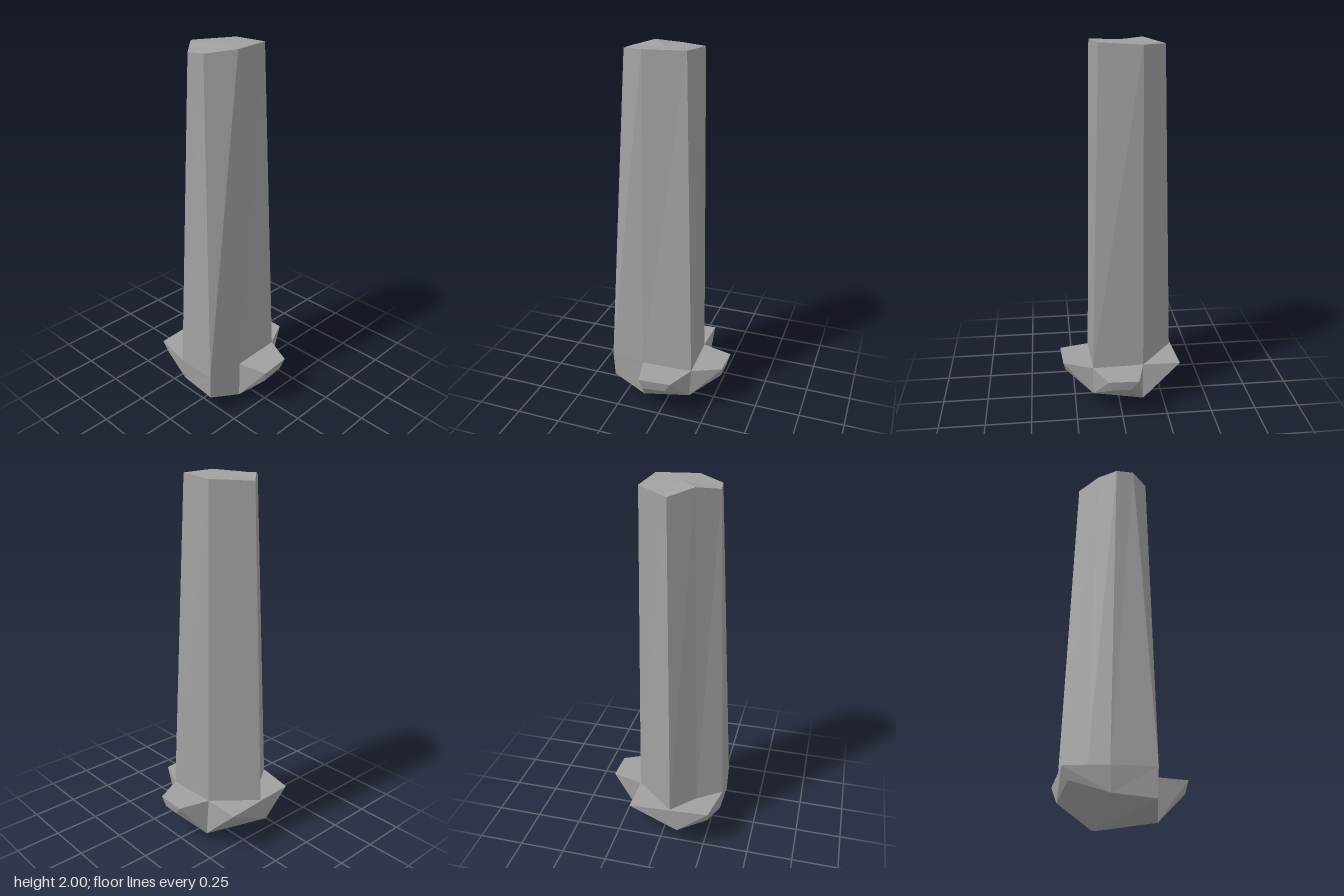
import * as THREE from 'three';
import { ConvexGeometry } from 'three/addons/geometries/ConvexGeometry.js';

const RIM = 0.265; // height of the flat ledge tops

// Faceted surface through closed rings, listed bottom to top, with a fan cap at each end
function loft(rings, bottom, top) {
  const pos = [];
  const tri = (a, b, c) => pos.push(...a, ...b, ...c);
  const n = rings[0].length;
  for (let i = 0; i < n; i++) {
    const j = (i + 1) % n;
    for (let k = 0; k < rings.length - 1; k++) {
      const lo = rings[k], up = rings[k + 1];
      tri(lo[i], up[i], lo[j]);
      tri(up[i], up[j], lo[j]);
    }
    tri(bottom, rings[0][i], rings[0][j]);
    tri(top, rings.at(-1)[j], rings.at(-1)[i]);
  }
  const g = new THREE.BufferGeometry();
  g.setAttribute('position', new THREE.Float32BufferAttribute(pos, 3));
  g.computeVertexNormals();
  return g;
}

export function createModel() {
  const model = new THREE.Group();
  model.name = 'rockPillar';
  const stone = new THREE.MeshStandardMaterial({ color: 0xa0a0a0, flatShading: true });
  stone.name = 'grey stone';

  const add = (name, geometry) => {
    const mesh = new THREE.Mesh(geometry, stone);
    mesh.name = name;
    model.add(mesh);
  };

  // Shared corners of the underside
  const tip = [-0.12, 0.005, -0.13];
  const frontLeftFoot = [-0.12, 0.05, 0.163];
  const frontRightFoot = [0.15, 0.1, 0.155];
  const backRightFoot = [0.165, 0.06, -0.125];
  const sideBackFoot = [-0.31, 0.14, -0.08];
  const sideFrontFoot = [-0.312, 0.12, 0.13];

  // Corners of the shaft at ledge height
  const waist = [
    [-0.07, -0.308], [0.15, -0.125], [0.16, 0.155], [-0.122, 0.165],
    [-0.318, 0.137], [-0.322, -0.085], [-0.19, -0.18],
  ].map(([x, z]) => [x, RIM, z]);

  // Tapering shaft with an uneven, nearly flat top
  const feet = [
    [-0.08, 0.13, -0.29], backRightFoot, frontRightFoot, frontLeftFoot,
    sideFrontFoot, sideBackFoot, [-0.19, 0.13, -0.17],
  ];
  const crown = [
    [-0.04, 1.975, -0.245], [0.13, 1.985, -0.11], [0.105, 1.995, 0.105], [-0.11, 1.995, 0.137],
    [-0.24, 1.98, 0.045], [-0.25, 1.975, -0.05], [-0.147, 2, -0.143],
  ];
  add('shaft', loft([feet, waist, crown], tip, [-0.06, 1.995, -0.02]));

  // Flat-topped stone ledges around the foot
  const ledge = (name, top, under) => add(name, new ConvexGeometry(
    [...top.map(([x, z]) => [x, RIM, z]), ...under].map((p) => new THREE.Vector3(...p))));

  ledge('sideLedge',
    [[0.15, -0.125], [0.321, -0.08], [0.315, 0.08], [0.16, 0.155]],
    [frontRightFoot, backRightFoot, [0.305, 0.21, 0.06], [0.308, 0.21, -0.04]]);

  ledge('frontLedge',
    [[-0.122, 0.165], [-0.085, 0.327], [0.09, 0.315], [0.16, 0.155]],
    [frontLeftFoot, frontRightFoot, [-0.07, 0.2, 0.31], [0.06, 0.21, 0.305]]);

  ledge('backLedge',
    [[-0.322, -0.085], [-0.28, -0.302], [0.155, -0.33], [0.15, -0.125]],
    [tip, backRightFoot, sideBackFoot, [-0.11, 0.13, -0.312], [0.15, 0.19, -0.25], [-0.27, 0.2, -0.27]]);

  return model;
}
